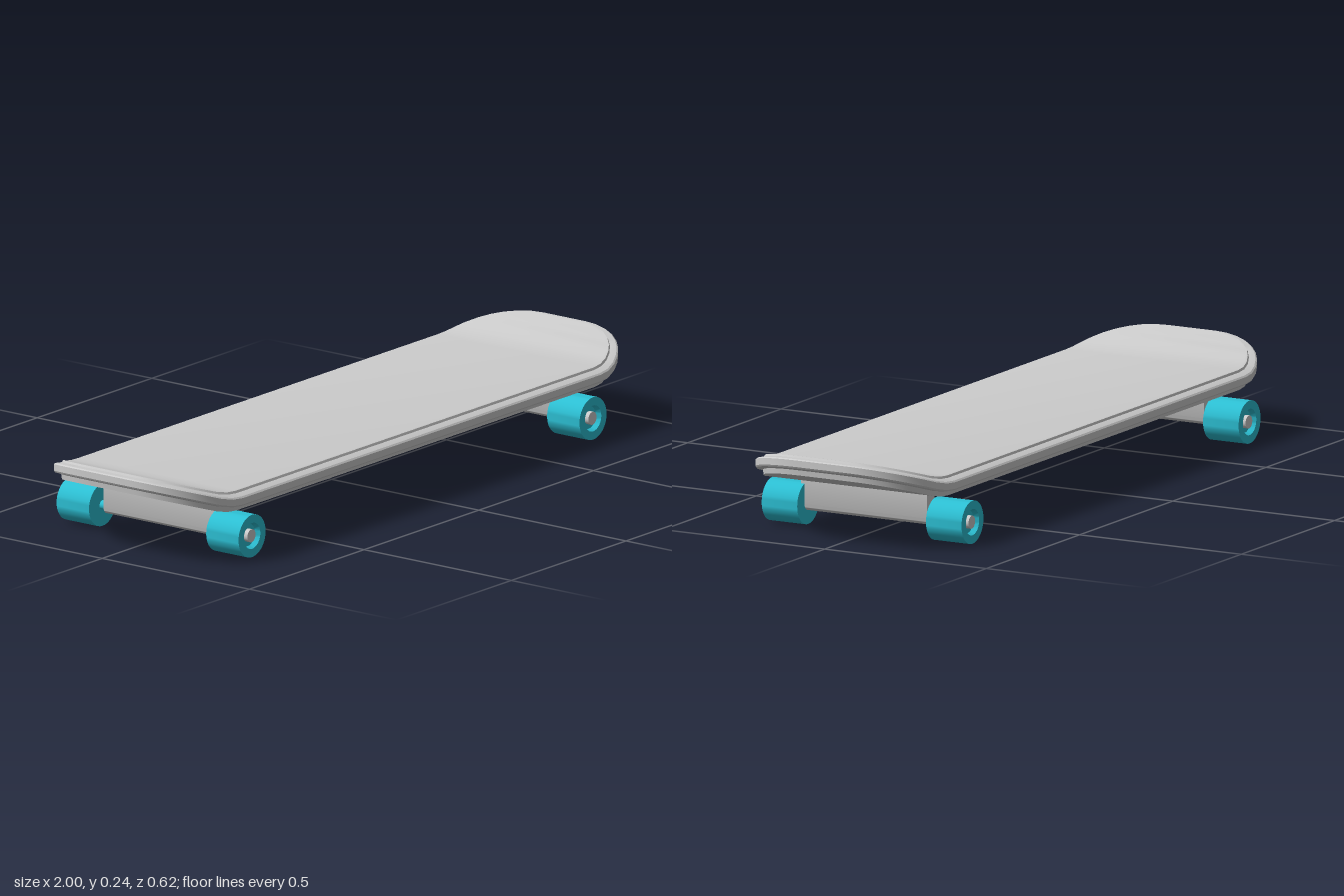
import * as THREE from 'three';
import { toCreasedNormals } from 'three/addons/utils/BufferGeometryUtils.js';

const grey = new THREE.MeshStandardMaterial({ color: 0xcccccc });
const teal = new THREE.MeshStandardMaterial({ color: 0x2cc0d4 });

const HALF_LENGTH = 1, HALF_WIDTH = 0.292, CORNER = 0.22, CENTRE_Z = 0.015;
const WHEEL_R = 0.059, AXLE_X = 0.743, AXLE_Y = 0.06;

function mesh(name, geometry, material, parent) {
  const m = new THREE.Mesh(geometry, material);
  m.name = name;
  parent.add(m);
  return m;
}

// upward kick of the nose and tail, with a soft start
function kick(x) {
  const t = Math.max(0, Math.abs(x) - 0.78);
  return t < 0.08 ? 0.34 * t * t / 0.16 : 0.34 * (t - 0.04);
}

// one rounded-rectangle ring: front edge from +x to -x, then back again
function deckRing(inset, y) {
  const r = CORNER - inset, steps = 9, quarter = [];
  for (let i = 0; i <= steps; i++) {
    const a = (i / steps) * Math.PI / 2;
    quarter.push([HALF_LENGTH - CORNER + r * Math.cos(a), HALF_WIDTH - CORNER + r * Math.sin(a)]);
  }
  const front = [...quarter, ...quarter.map(([x, z]) => [-x, z]).reverse()];
  const back = front.map(([x, z]) => [x, -z]).reverse();
  return [...front, ...back].map(([x, z]) => [x, y + kick(x), z + CENTRE_Z]);
}

// rings stacked from the underside to the top, closed by strips across the width
function deckGeometry() {
  const profile = [
    [0.022, 0.135], [0.02, 0.149], // lower layer
    [0.003, 0.151], [0, 0.155], [0, 0.173], // overhanging upper layer
    [0.004, 0.177], [0.022, 0.183], // sloping rim
    [0.025, 0.189], [0.032, 0.19], // raised top surface
  ];
  const rings = profile.map(([inset, y]) => deckRing(inset, y));
  const n = rings[0].length, index = [];
  for (let j = 0; j < rings.length - 1; j++) {
    for (let i = 0; i < n; i++) {
      const k = (i + 1) % n;
      const a = j * n + i, b = j * n + k, c = b + n, d = a + n;
      index.push(a, c, b, a, d, c);
    }
  }
  const top = (rings.length - 1) * n;
  for (let i = 0; i < n / 2 - 1; i++) {
    const p = i, q = i + 1, r = n - 2 - i, s = n - 1 - i;
    index.push(top + p, top + s, top + q, top + s, top + r, top + q);
    index.push(p, q, s, s, q, r);
  }
  const g = new THREE.BufferGeometry();
  g.setAttribute('position', new THREE.Float32BufferAttribute(rings.flat(2), 3));
  g.setIndex(index);
  return toCreasedNormals(g, 0.35);
}

// wheel with a recessed outer face, turned about its axis
function wheelGeometry() {
  const profile = [
    [0, -0.055], [WHEEL_R, -0.055], [WHEEL_R, 0.055],
    [0.036, 0.055], [0.031, 0.04], [0, 0.04],
  ].map(([r, y]) => new THREE.Vector2(r, y));
  return toCreasedNormals(new THREE.LatheGeometry(profile, 40), 0.5);
}

// upright hanger with a round bottom, running across the board
function hangerGeometry() {
  const w = 0.02, s = new THREE.Shape();
  s.moveTo(w, 0.14);
  s.lineTo(-w, 0.14);
  s.lineTo(-w, AXLE_Y);
  s.absarc(0, AXLE_Y, w, Math.PI, Math.PI * 2, false);
  s.closePath();
  const g = new THREE.ExtrudeGeometry(s, { depth: 0.39, bevelEnabled: false, curveSegments: 16 });
  g.translate(0, 0, -0.18);
  return toCreasedNormals(g, 0.5);
}

export function createModel() {
  const model = new THREE.Group();
  model.name = 'skateboard';
  mesh('deck', deckGeometry(), grey, model);

  const wheel = wheelGeometry(), hanger = hangerGeometry();
  const axle = new THREE.CylinderGeometry(0.013, 0.013, 0.5, 20);
  const bolt = new THREE.CylinderGeometry(0.018, 0.018, 0.014, 20);

  for (const side of [-1, 1]) {
    const truck = new THREE.Group();
    truck.name = side > 0 ? 'leftTruck' : 'rightTruck';
    truck.position.x = side * AXLE_X;
    model.add(truck);
    mesh('hanger', hanger, grey, truck);
    const rod = mesh('axle', axle, teal, truck);
    rod.position.y = AXLE_Y;
    rod.rotation.x = Math.PI / 2;

    // wheel and axle bolt at each end, outer face away from the middle
    for (const end of [-1, 1]) {
      const unit = new THREE.Group();
      unit.name = end > 0 ? 'frontWheel' : 'backWheel';
      unit.position.set(0, AXLE_Y, end * 0.254);
      unit.rotation.x = end * Math.PI / 2;
      truck.add(unit);
      mesh('tyre', wheel, teal, unit);
      mesh('axleBolt', bolt, grey, unit).position.y = 0.046;
    }
  }
  return model;
}
